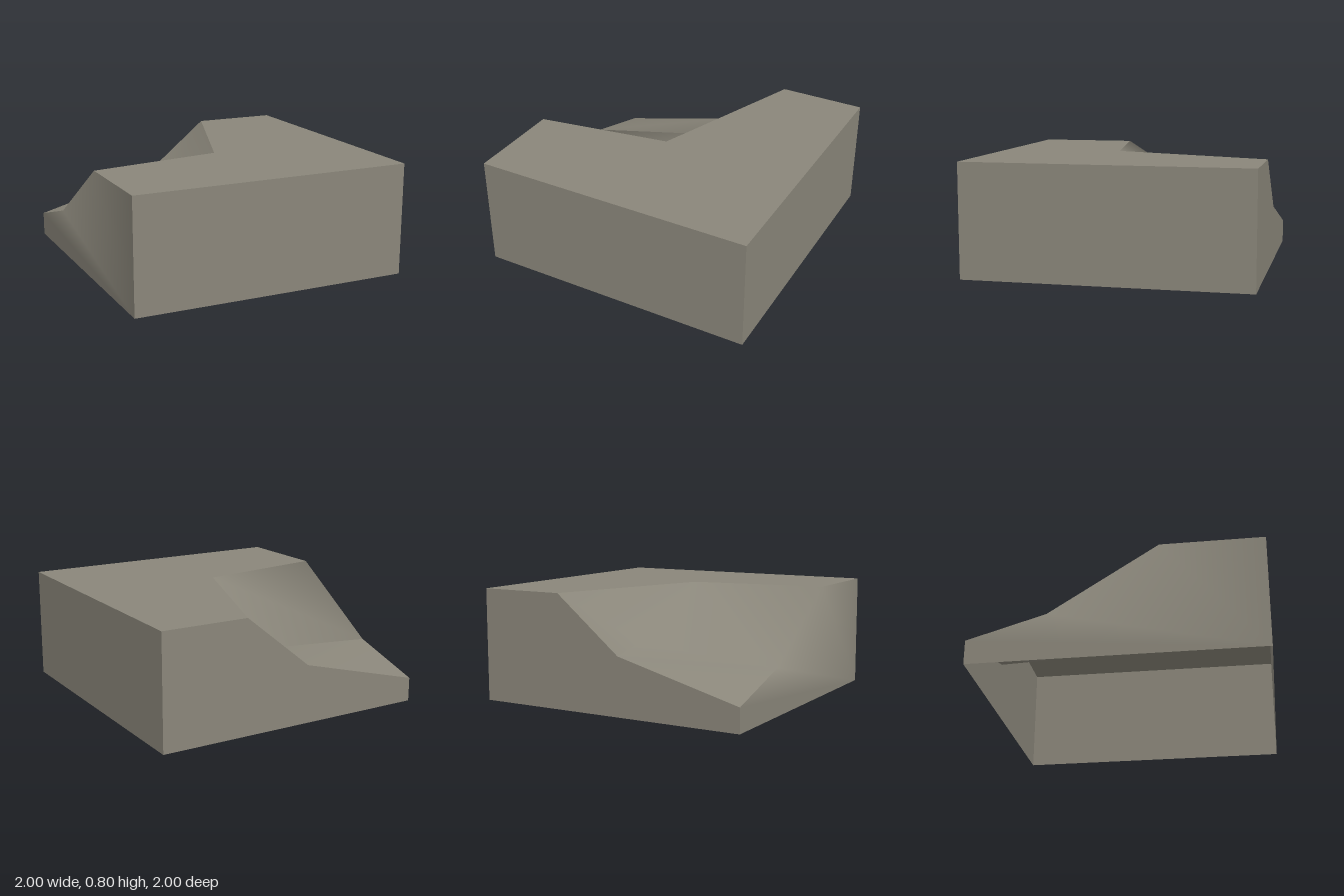
import * as THREE from 'three';

// Builds a mesh from corner points and faces (each face is fanned from its first corner).
// Faces that share a corner index are shaded smoothly across it.
function faceMesh(name, points, faces, material) {
  const index = [];
  for (const f of faces) {
    for (let i = 1; i < f.length - 1; i++) index.push(f[0], f[i], f[i + 1]);
  }
  const geometry = new THREE.BufferGeometry();
  geometry.setAttribute('position', new THREE.Float32BufferAttribute(points.flat(), 3));
  geometry.setIndex(index);
  geometry.computeVertexNormals();
  const mesh = new THREE.Mesh(geometry, material);
  mesh.name = name;
  return mesh;
}

export function createModel() {
  const group = new THREE.Group();
  group.name = 'cliffCornerBlock';
  const stone = new THREE.MeshStandardMaterial({ color: 0x8a867a, side: THREE.DoubleSide });
  stone.name = 'stone';

  const H = 0.8;
  // Plateau rim
  const rimBack = [0.38, H, -1], rimCorner = [-0.04, H, 0.14], rimSide = [-1, H, 0.29];
  // Foot of the cliff
  const footBack = [-0.1, 0.41, -1], footCorner = [-0.05, 0.45, -0.65], footSide = [-1, 0.33, -0.46];
  // Lowest corner of the sloping ground
  const low = [-1, 0.17, -1];

  // Flat outer faces; the underside stays open
  const flat = {
    plateau: [[1, H, 1], [1, H, -1], rimBack, rimCorner, rimSide, [-1, H, 1]],
    frontWall: [[-1, 0, 1], [1, 0, 1], [1, H, 1], [-1, H, 1]],
    leftWall: [[1, 0, 1], [1, 0, -1], [1, H, -1], [1, H, 1]],
    backWall: [[1, 0, -1], [-1, 0, -1], low, footBack, rimBack, [1, H, -1]],
  };
  for (const [name, points] of Object.entries(flat)) {
    group.add(faceMesh(name, points, [points.map((_, i) => i)], stone));
  }

  // Cliff, sloping ground and side wall; repeated corners keep the ground's outer edges sharp
  const points = [
    rimBack, rimCorner, rimSide,            // 0 1 2
    footBack, footCorner, footSide,         // 3 4 5
    footBack, low, footSide,                // 6 7 8  ground
    [-1, 0, 1], [-1, H, 1], low, [-1, 0, -1], // 9 10 11 12  side wall
  ];
  const faces = [
    [0, 3, 4], [0, 4, 1], [1, 4, 5], [1, 5, 2], // cliff
    [6, 7, 8], [6, 8, 4],                       // ground
    [9, 10, 2, 5, 11, 12],                      // side wall
  ];
  group.add(faceMesh('cliffAndSlope', points, faces, stone));
  return group;
}
